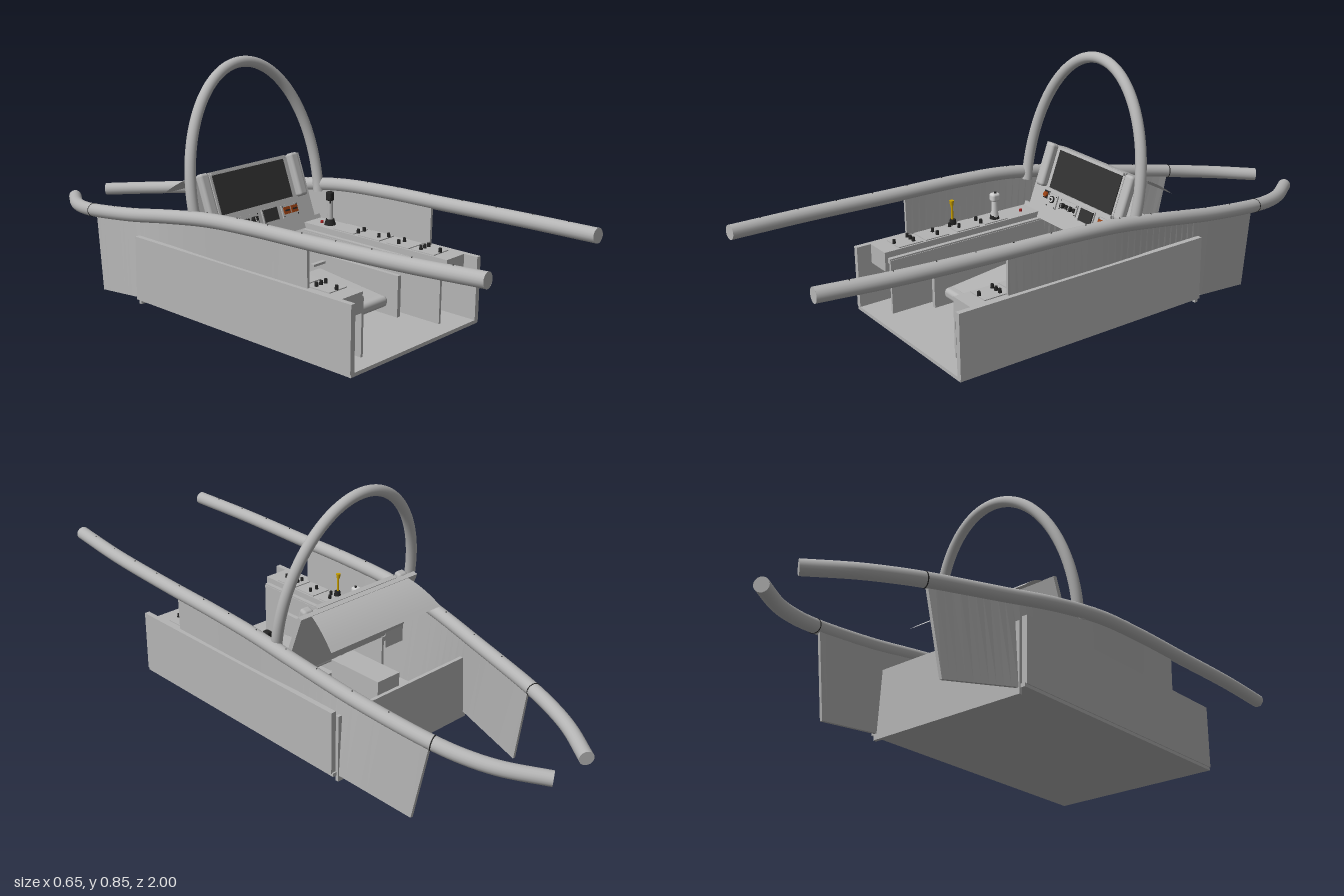
import * as THREE from 'three';
import { RoundedBoxGeometry } from 'three/addons/geometries/RoundedBoxGeometry.js';

const mat = (name, color) => {
  const m = new THREE.MeshStandardMaterial({ color, side: THREE.DoubleSide });
  m.name = name;
  return m;
};
const V = (x, y, z) => new THREE.Vector3(x, y, z);

export function createModel() {
  const root = new THREE.Group();
  root.name = 'cockpit';
  const grey = mat('light grey', 0xb4b4b4), black = mat('black', 0x242424), screenM = mat('screen black', 0x303030),
    yellow = mat('yellow', 0xc9a000), orange = mat('burnt orange', 0x9a4012), pale = mat('pale grey', 0xcccccc), red = mat('red', 0xa02020);

  const add = (name, geo, m, x = 0, y = 0, z = 0, parent = root) => {
    const mesh = new THREE.Mesh(geo, m);
    mesh.name = name;
    mesh.position.set(x, y, z);
    parent.add(mesh);
    return mesh;
  };
  // box given by its limits
  const box = (name, m, x0, x1, y0, y1, z0, z1, parent = root) =>
    add(name, new THREE.BoxGeometry(Math.abs(x1 - x0), y1 - y0, z1 - z0), m, (x0 + x1) / 2, (y0 + y1) / 2, (z0 + z1) / 2, parent);
  const cyl = (name, m, r0, r1, h, x, y, z, parent = root) =>
    add(name, new THREE.CylinderGeometry(r0, r1, h, 16), m, x, y, z, parent);
  // capped tube along a curve
  const tube = (name, curve, r, segs, m) => {
    add(name, new THREE.TubeGeometry(curve, segs, r, 18), m);
    for (const t of [0, 1]) {
      const p = curve.getPointAt(t), cap = add(name + 'Cap', new THREE.CircleGeometry(r, 18), m, p.x, p.y, p.z);
      cap.lookAt(p.clone().addScaledVector(curve.getTangentAt(t), t ? 1 : -1));
    }
  };

  // floor and rear bulkhead
  box('floor', grey, -0.305, 0.305, 0.045, 0.057, -0.36, 0.58);
  box('rearBulkhead', grey, -0.29, 0.29, 0.025, 0.25, -0.366, -0.354);

  const railPts = [[0.27, 0.428, 1], [0.29, 0.418, 0.75], [0.298, 0.408, 0.45], [0.302, 0.402, 0.2], [0.302, 0.39, 0],
    [0.292, 0.36, -0.2], [0.267, 0.318, -0.42], [0.224, 0.275, -0.68], [0.195, 0.26, -0.78], [0.155, 0.249, -0.87], [0.075, 0.238, -0.99]];

  for (const s of [1, -1]) {
    // long side rail with a joint ring and a row of screws
    const rail = new THREE.CatmullRomCurve3(railPts.map(([x, y, z]) => V(s * x, y, z)));
    tube('sideRail', rail, 0.023, 90, grey);
    const samples = rail.getSpacedPoints(400);
    const atZ = z => samples.reduce((a, b) => Math.abs(b.z - z) < Math.abs(a.z - z) ? b : a);
    const joint = add('railJoint', new THREE.TorusGeometry(0.0225, 0.002, 6, 24), black, ...atZ(-0.68).toArray());
    joint.lookAt(atZ(-0.68).clone().add(V(s * -0.25, -0.1, -0.75)));
    for (let z = 0.9; z > -0.65; z -= 0.13) {
      const p = atZ(z);
      cyl('railScrew', black, 0.002, 0.002, 0.004, p.x, p.y + 0.0225, p.z);
    }

    // side wall rising to the rail and tapering into the rear fin
    const pos = [], idx = [], n = 40, th = 0.01;
    for (let i = 0; i <= n; i++) {
      const zt = 0.4 - 1.07 * i / n, zb = 0.4 - 1.02 * i / n;
      const p = atZ(zt), k = Math.max(0, (-0.35 - zb) / 0.27);
      const xb = 0.29 - 0.05 * k, yb = 0.048 * (1 - k), xt = Math.abs(p.x) - 0.004;
      pos.push(s * xb, yb, zb, s * xt, p.y, zt, s * (xt - th), p.y, zt, s * (xb - th), yb, zb);
      if (i < n) for (let j = 0; j < 4; j++) {
        const a = i * 4 + j, b = i * 4 + (j + 1) % 4;
        if (s > 0) idx.push(a, a + 4, b, b, a + 4, b + 4);
        else idx.push(a, b, a + 4, b, b + 4, a + 4);
      }
    }
    const e = n * 4;
    if (s > 0) idx.push(0, 1, 2, 0, 2, 3, e, e + 2, e + 1, e, e + 3, e + 2);
    else idx.push(0, 2, 1, 0, 3, 2, e, e + 1, e + 2, e, e + 2, e + 3);
    const g = new THREE.BufferGeometry();
    g.setAttribute('position', new THREE.Float32BufferAttribute(pos, 3));
    g.setIndex(idx);
    const flat = g.toNonIndexed();
    flat.computeVertexNormals();
    add('sideWall', flat, grey);

    // lower outer wall
    box('outerWall', grey, s * 0.29, s * 0.308, 0.055, 0.265, -0.355, 0.58);

    // side console with its inner support plate
    box('sideConsole', grey, s * 0.2, s * 0.29, 0.2, 0.265, -0.08, 0.53);
    box('consoleEdge', grey, s * 0.185, s * 0.2, 0.228, 0.245, -0.08, 0.52);
    box('consoleSupport', grey, s * 0.183, s * 0.192, 0.055, 0.24, -0.08, 0.52);
    for (const z of [0.1, 0.21, 0.33, 0.43])
      box('consolePanel', grey, s * 0.206, s * 0.282, 0.265, 0.268, z - 0.045, z + 0.045);
    for (const [dx, z] of [[0, 0.15], [0.03, 0.15], [0.01, 0.23], [0.035, 0.25], [0, 0.32], [0.03, 0.32], [0, 0.41], [0.02, 0.41], [0.04, 0.41], [0.02, 0.47]])
      cyl('consoleKnob', black, 0.005, 0.006, 0.014, s * (0.225 + dx), 0.274, z);
    cyl('indicatorLamp', red, 0.005, 0.005, 0.008, s * 0.235, 0.27, -0.02);

    // seat side plate, cross arm and edge strip
    box('seatSidePlate', grey, s * 0.138, s * 0.153, 0.057, 0.195, 0.07, 0.39);
    box('seatArm', grey, s * 0.08, s * 0.14, 0.168, 0.176, 0.07, 0.085);

    // rudder pedal in the footwell
    box('pedal', grey, s * 0.085, s * 0.135, 0.1, 0.17, -0.3, -0.29);
    cyl('pedalArm', grey, 0.008, 0.008, 0.055, s * 0.11, 0.13, -0.325).rotation.x = Math.PI / 2;
  }

  // centre pedestal between the footwells
  box('pedestal', grey, -0.048, 0.048, 0.057, 0.245, -0.29, -0.08);

  // roof hoop leaning backwards
  const hoopPts = [];
  for (let i = 0; i <= 40; i++) {
    const a = Math.PI * (-0.05 + 1.1 * i / 40), y = 0.42 + 0.408 * Math.sin(a);
    hoopPts.push(V(0.287 * Math.cos(a), y, -0.09 - (y - 0.4) * 0.185));
  }
  tube('roofHoop', new THREE.CatmullRomCurve3(hoopPts), 0.018, 80, grey);

  // seat pan and rounded front edge
  const pan = add('seatPan', new RoundedBoxGeometry(0.25, 0.03, 0.29, 3, 0.01), grey, 0, 0.125, 0.215);
  pan.rotation.x = 0.11;
  add('seatFrontEdge', new RoundedBoxGeometry(0.25, 0.036, 0.04, 4, 0.014), grey, 0, 0.109, 0.345);
  box('seatBackBar', grey, -0.15, 0.15, 0.065, 0.085, 0.07, 0.085);

  // striped pull handle and yellow safety bar
  const handle = new THREE.Group();
  handle.name = 'pullHandle';
  handle.position.set(0, 0.207, 0.1);
  handle.scale.set(0.7, 1, 1);
  root.add(handle);
  const parts = 20;
  for (let i = 0; i < parts; i++)
    add('handleStripe', new THREE.TorusGeometry(0.037, 0.005, 8, 4, Math.PI * 2 / parts), i % 2 ? yellow : black, 0, 0, 0, handle)
      .rotation.z = i * Math.PI * 2 / parts;
  cyl('handleStem', black, 0.006, 0.006, 0.025, 0, 0.16, 0.1);
  box('safetyBar', yellow, -0.07, -0.027, 0.153, 0.159, 0.09, 0.105);

  // tilted instrument panel
  const tilt = 0.36, dash = new THREE.Group();
  dash.name = 'instrumentPanel';
  dash.position.set(0, 0.25, -0.06);
  dash.rotation.x = -tilt;
  root.add(dash);
  const v = y => (y - 0.25) / Math.cos(tilt);
  const plate = (name, m, x0, x1, y0, y1, z0, z1) => box(name, m, x0, x1, v(y0), v(y1), z0, z1, dash);
  const dial = (name, m, r, h, x, y, z) => { cyl(name, m, r, r, h, x, v(y), z, dash).rotation.x = Math.PI / 2; };
  plate('panelBoard', grey, -0.253, 0.253, 0.28, 0.488, -0.016, 0);
  plate('panelFoot', grey, -0.285, 0.285, 0.248, 0.28, -0.016, -0.004);
  plate('mainScreenFrame', grey, -0.172, 0.172, 0.348, 0.49, 0, 0.008);
  plate('mainScreen', screenM, -0.163, 0.163, 0.356, 0.479, 0.008, 0.011);
  for (const y of [0.351, 0.485]) plate('screenRail', grey, -0.17, 0.17, y - 0.004, y + 0.004, 0.008, 0.016);
  for (const s of [1, -1])
    add('sidePad', new RoundedBoxGeometry(0.038, 0.15, 0.03, 4, 0.01), grey, s * 0.206, v(0.421), 0.012, dash);
  for (const [x0, x1, y0, y1] of [[-0.164, -0.113, 0.294, 0.339], [-0.096, -0.005, 0.301, 0.338], [0.012, 0.084, 0.294, 0.342], [0.104, 0.18, 0.296, 0.337]]) {
    plate('instrumentPlate', grey, x0, x1, y0, y1, 0, 0.005);
    for (const x of [x0 + 0.005, x1 - 0.005]) for (const y of [y0 + 0.005, y1 - 0.005]) dial('plateScrew', black, 0.002, 0.003, x, y, 0.005);
  }
  dial('gaugeRim', black, 0.012, 0.006, -0.138, 0.322, 0.006);
  dial('gaugeFace', pale, 0.009, 0.006, -0.138, 0.322, 0.008);
  dial('gaugeCentre', black, 0.004, 0.006, -0.138, 0.322, 0.01);
  for (const x of [-0.073, -0.033]) {
    dial('rotaryKnob', black, 0.009, 0.014, x, 0.319, 0.01);
    plate('knobPointer', pale, x - 0.001, x + 0.001, 0.313, 0.325, 0.017, 0.019);
    plate('toggleSwitch', black, x + 0.013, x + 0.021, 0.312, 0.326, 0.004, 0.009);
  }
  plate('smallScreen', screenM, 0.016, 0.08, 0.299, 0.338, 0.005, 0.009);
  for (const x of [0.125, 0.161]) {
    plate('readout', orange, x - 0.015, x + 0.015, 0.307, 0.33, 0.005, 0.008);
    plate('readoutBar', black, x - 0.01, x + 0.01, 0.316, 0.321, 0.008, 0.01);
  }
  plate('warningPlate', black, -0.189, -0.162, 0.317, 0.342, 0, 0.004);
  dial('warningLamp', orange, 0.009, 0.01, -0.176, 0.33, 0.006);

  // curved hood behind the instrument panel
  const hood = new THREE.PlaneGeometry(1, 1, 1, 10), hp = hood.attributes.position;
  for (let i = 0; i < hp.count; i++) {
    const t = 0.5 - hp.getY(i);
    hp.setXYZ(i, hp.getX(i) * (0.41 + 0.07 * t), 0.487 - 0.03 * t - 0.045 * t * t, -0.142 - 0.14 * t);
  }
  hood.computeVertexNormals();
  add('panelHood', hood, grey);

  // flight stick on the +x console
  const stick = new THREE.Group();
  stick.name = 'blackStick';
  stick.position.set(0.242, 0.265, 0.01);
  root.add(stick);
  cyl('stickBase', black, 0.014, 0.02, 0.02, 0, 0.01, 0, stick);
  cyl('stickShaft', grey, 0.008, 0.011, 0.075, 0, 0.05, 0, stick);
  add('stickHead', new RoundedBoxGeometry(0.022, 0.032, 0.025, 2, 0.006), black, -0.002, 0.1, 0, stick);
  cyl('stickTrigger', black, 0.003, 0.003, 0.02, -0.012, 0.088, 0.01, stick);

  // throttle grip on the -x console
  const grip = new THREE.Group();
  grip.name = 'paleGrip';
  grip.position.set(-0.232, 0.265, 0.09);
  root.add(grip);
  cyl('gripBase', black, 0.014, 0.017, 0.015, 0, 0.008, 0, grip);
  cyl('gripShaft', pale, 0.009, 0.013, 0.06, 0.002, 0.04, 0, grip);
  add('gripHead', new RoundedBoxGeometry(0.028, 0.03, 0.032, 3, 0.009), pale, 0.004, 0.08, 0, grip);
  cyl('gripButton', black, 0.004, 0.004, 0.008, 0.008, 0.096, 0, grip);

  // yellow lever
  cyl('leverBase', black, 0.01, 0.013, 0.02, -0.272, 0.275, 0.23);
  cyl('leverShaft', yellow, 0.004, 0.004, 0.055, -0.275, 0.31, 0.23);
  cyl('leverKnob', yellow, 0.008, 0.006, 0.016, -0.276, 0.342, 0.23);

  return root;
}
